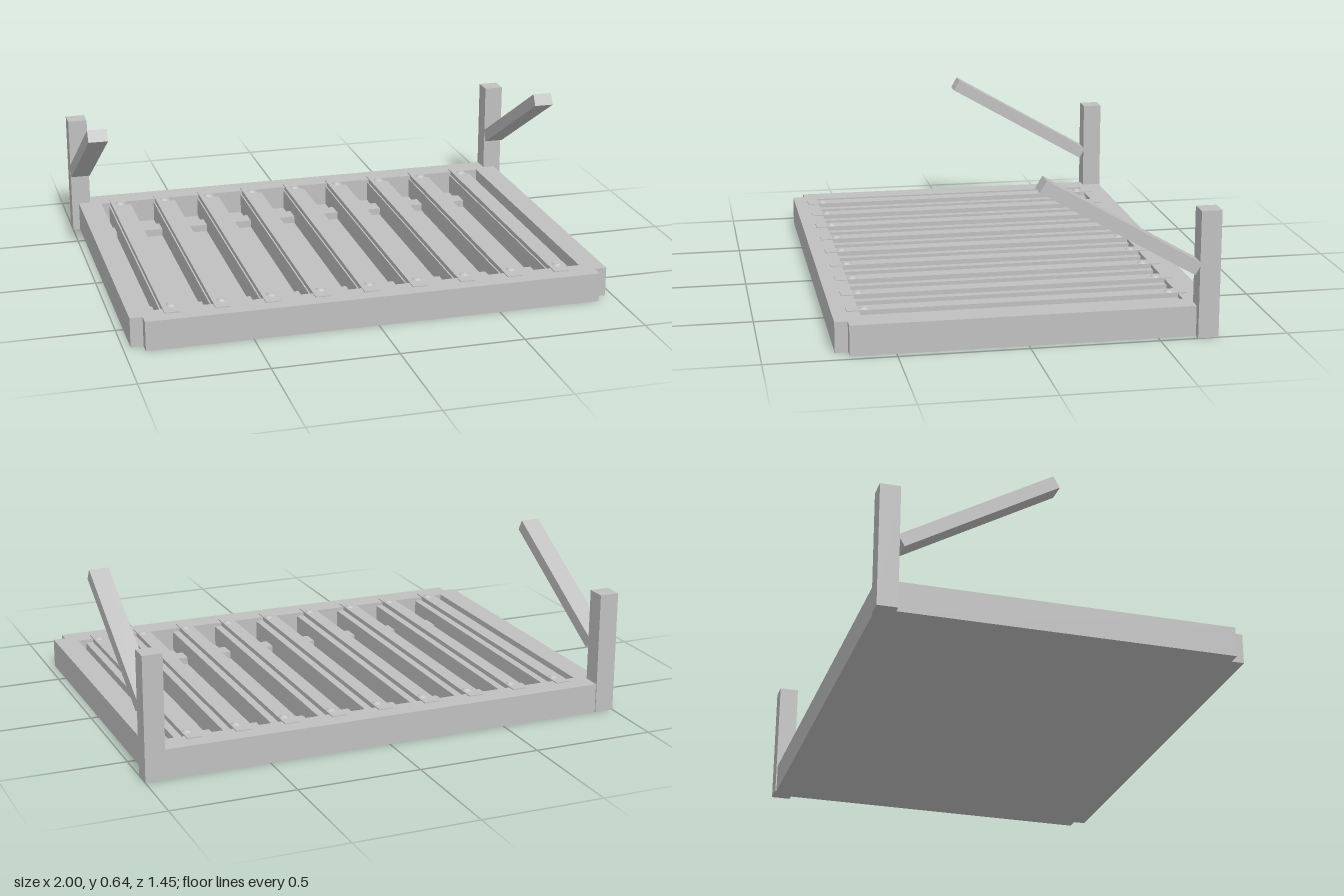
import * as THREE from 'three';

export function createModel() {
  const model = new THREE.Group();
  model.name = 'slattedBedFrame';
  const grey = new THREE.MeshStandardMaterial({ color: 0xc0c0c0 });
  grey.name = 'plain grey';

  // Box given by its lower and upper limits on each axis
  function box(name, [x0, x1], [y0, y1], [z0, z1]) {
    const mesh = new THREE.Mesh(new THREE.BoxGeometry(x1 - x0, y1 - y0, z1 - z0), grey);
    mesh.position.set((x0 + x1) / 2, (y0 + y1) / 2, (z0 + z1) / 2);
    mesh.name = name;
    model.add(mesh);
    return mesh;
  }

  // Base: floor and the front and back beams
  const beamY = [0, 0.12];
  box('floor', [-0.88, 0.88], [0, 0.02], [-0.62, 0.62]);
  box('frontBeam', [-0.92, 0.92], beamY, [0.62, 0.725]);
  box('backBeam', [-0.92, 0.92], beamY, [-0.722, -0.62]);

  // Cross rails under the slats
  for (const s of [-1, 1]) {
    const rail = box('crossRail', [-0.88, 0.88], [0.02, 0.05], [-0.036, 0.036]);
    rail.position.z = s * 0.456;
  }

  // Side beams, back posts and sloping arms, mirrored
  for (const s of [-1, 1]) {
    const mirror = (a, b) => (s > 0 ? [a, b] : [-b, -a]);
    box('sideBeam', mirror(0.875, 0.97), beamY, [-0.65, 0.675]);
    box('backPost', mirror(0.92, 1), [0, 0.5], [-0.727, -0.647]);
    const arm = box('slopingArm', mirror(0.92, 1), [-0.026, 0.026], [-0.346, 0.346]);
    arm.position.set(s * 0.96, 0.447, -0.342);
    arm.rotation.x = -Math.PI / 6;
  }

  // Nine joists, each with a thin slat bolted on at both ends
  const boltShape = new THREE.CylinderGeometry(0.013, 0.0215, 0.009, 12);
  for (let i = -4; i <= 4; i++) {
    const x = i * 0.198;
    box('joist', [x - 0.048, x + 0.048], [0.01, 0.105], [-0.63, 0.63]);
    box('slat', [x - 0.042, x + 0.017], [0.1, 0.124], [-0.655, 0.667]);
    for (const z of [-0.587, 0.6]) {
      const bolt = new THREE.Mesh(boltShape, grey);
      bolt.name = 'bolt';
      bolt.position.set(x - 0.005, 0.1275, z);
      model.add(bolt);
    }
  }
  return model;
}
